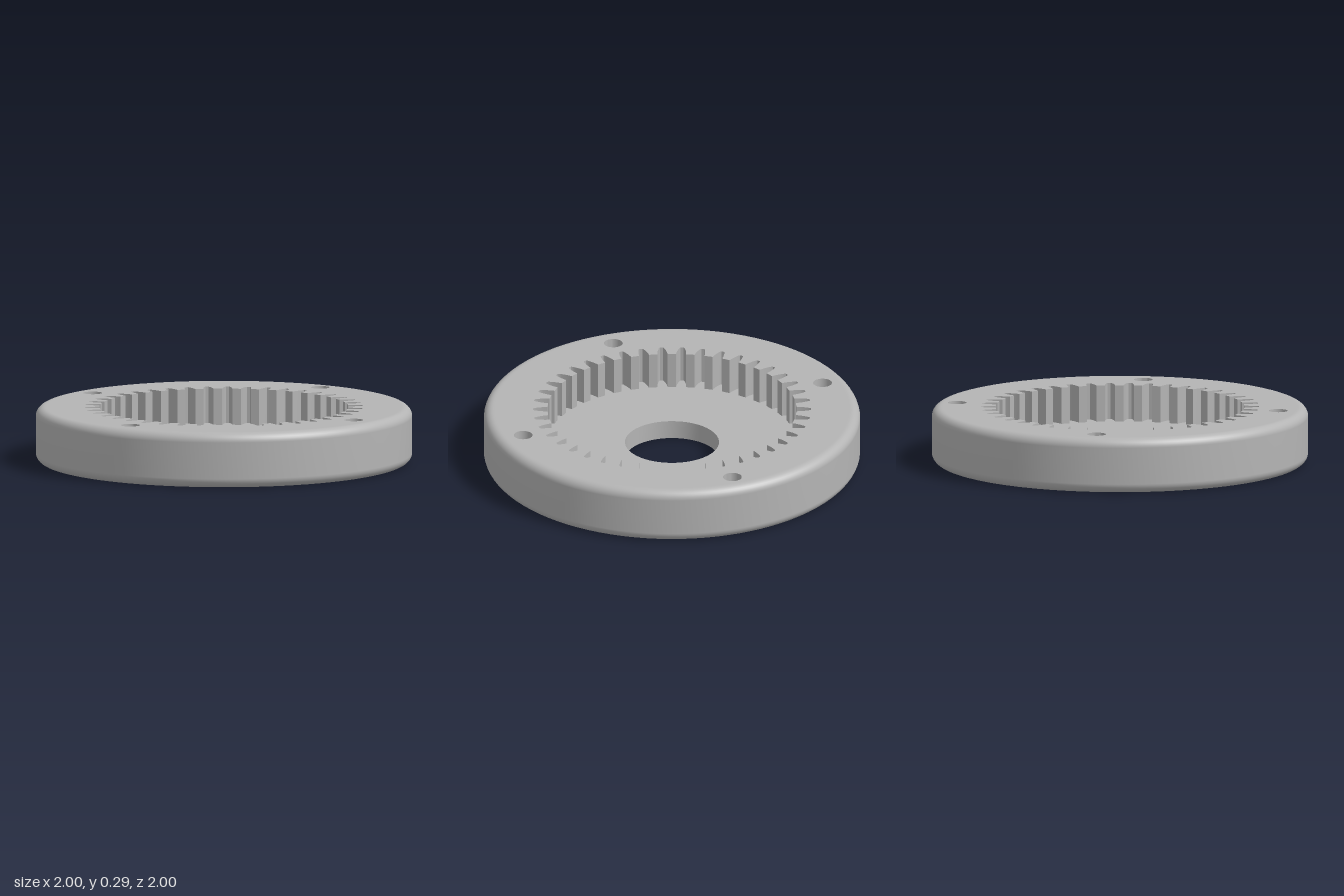
import * as THREE from 'three';
import { toCreasedNormals } from 'three/addons/utils/BufferGeometryUtils.js';

const HEIGHT = 0.295, FLOOR = 0.1, FILLET = 0.05, TEETH = 42, SEGMENTS = 96;

// Loops are lists of (x, z) points, turning from +x towards +z.
function circle(r, count, cx = 0, cz = 0) {
  return Array.from({ length: count }, (_, i) => {
    const a = (i / count) * Math.PI * 2;
    return new THREE.Vector2(cx + r * Math.cos(a), cz + r * Math.sin(a));
  });
}

// Inner gear outline: each tooth space is given as [radius, half width].
function gearLoop() {
  const flank = [[0.662, 0.027], [0.682, 0.0255], [0.702, 0.022], [0.72, 0.0175], [0.734, 0.013], [0.74, 0.008]];
  const space = [
    ...flank.map(([r, w]) => [r, -w]),
    ...flank.slice().reverse(),
  ];
  const loop = [];
  for (let i = 0; i < TEETH; i++) {
    for (const [r, w] of space) {
      const a = (i / TEETH) * Math.PI * 2 + w / r;
      loop.push(new THREE.Vector2(r * Math.cos(a), r * Math.sin(a)));
    }
  }
  return loop;
}

// Flat face with holes, facing up or down.
function flatFace(outer, holes, y, up) {
  const flip = (loop) => loop.map((p) => new THREE.Vector2(p.x, up ? -p.y : p.y));
  const shape = new THREE.Shape(flip(outer));
  shape.holes = holes.map((h) => new THREE.Path(flip(h)));
  return new THREE.ShapeGeometry(shape).rotateX(up ? -Math.PI / 2 : Math.PI / 2).translate(0, y, 0);
}

// Upright wall along a loop, facing its inside.
function innerWall(loop, y0, y1, crease) {
  const pos = [];
  loop.forEach((p, i) => {
    const q = loop[(i + 1) % loop.length];
    pos.push(p.x, y0, p.y, q.x, y0, q.y, q.x, y1, q.y);
    pos.push(p.x, y0, p.y, q.x, y1, q.y, p.x, y1, p.y);
  });
  const geo = new THREE.BufferGeometry();
  geo.setAttribute('position', new THREE.Float32BufferAttribute(pos, 3));
  geo.computeVertexNormals();
  return toCreasedNormals(geo, crease);
}

// Outer wall with rounded upper and lower edges.
function rimGeometry(capRadius) {
  const profile = [new THREE.Vector2(capRadius, 0)];
  for (const [cy, start] of [[FILLET, -Math.PI / 2], [HEIGHT - FILLET, 0]]) {
    for (let i = 0; i <= 8; i++) {
      const a = start + (i / 8) * (Math.PI / 2);
      profile.push(new THREE.Vector2(1 - FILLET + FILLET * Math.cos(a), cy + FILLET * Math.sin(a)));
    }
  }
  profile.push(new THREE.Vector2(capRadius, HEIGHT));
  return new THREE.LatheGeometry(profile, SEGMENTS);
}

export function createModel() {
  const group = new THREE.Group();
  const steel = new THREE.MeshStandardMaterial({ color: 0xb4b4b4 });
  steel.name = 'steelGrey';

  const add = (name, geometry) => {
    const mesh = new THREE.Mesh(geometry, steel);
    mesh.name = name;
    group.add(mesh);
  };

  const capRadius = 0.94;
  const edge = circle(capRadius, SEGMENTS);
  const gear = gearLoop();
  const bore = circle(0.25, 64);
  const boltHoles = [[0, -0.86], [0.875, 0], [0, 0.85], [-0.85, 0]].map(([x, z]) => circle(0.05, 32, x, z));

  add('outerRim', rimGeometry(capRadius));
  add('topFace', flatFace(edge, [gear, ...boltHoles], HEIGHT, true));
  add('recessFloor', flatFace(gear, [bore], FLOOR, true));
  add('bottomFace', flatFace(edge, [bore, ...boltHoles], 0, false));
  add('gearTeeth', innerWall(gear, FLOOR, HEIGHT, 0.5));
  add('centreBore', innerWall(bore, 0, FLOOR, 0.6));
  boltHoles.forEach((hole, i) => add(`boltHole${i + 1}`, innerWall(hole, 0, HEIGHT, 0.6)));

  return group;
}
